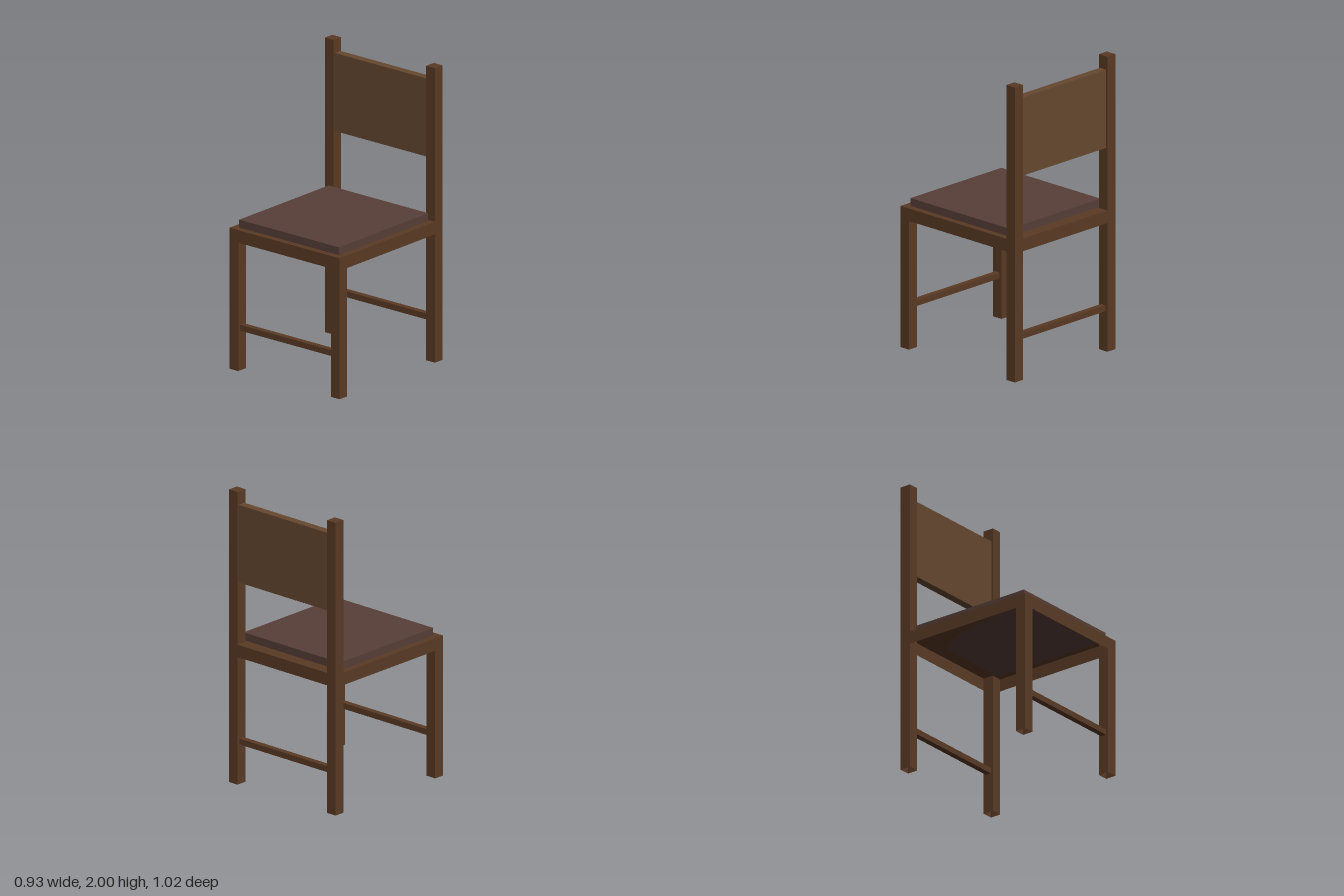
import * as THREE from 'three';

const wood = new THREE.MeshStandardMaterial({ color: 0x5a3a24, side: THREE.DoubleSide });
const panelWood = new THREE.MeshStandardMaterial({ color: 0x66482f });
const fabric = new THREE.MeshStandardMaterial({ color: 0x573f37 });

// Box given by its extents; openBottom drops the downward face
function box(name, [x0, x1], [y0, y1], [z0, z1], material, openBottom = false) {
  const geometry = new THREE.BoxGeometry(x1 - x0, y1 - y0, z1 - z0);
  if (openBottom) {
    const index = Array.from(geometry.index.array);
    index.splice(18, 6);
    geometry.setIndex(index);
    geometry.clearGroups();
  }
  geometry.translate((x0 + x1) / 2, (y0 + y1) / 2, (z0 + z1) / 2);
  const mesh = new THREE.Mesh(geometry, material);
  mesh.name = name;
  return mesh;
}

export function createModel() {
  const chair = new THREE.Group();
  chair.name = 'chair';
  const outer = 0.465, inner = 0.39, front = 0.51, legDepth = 0.075;

  // Legs: short at the front, rising into back posts behind
  for (const [side, xs] of [['left', [inner, outer]], ['right', [-outer, -inner]]]) {
    chair.add(
      box(side + 'FrontLeg', xs, [0, 0.95], [front - legDepth, front], wood, true),
      box(side + 'BackPost', xs, [0, 2], [-front, -front + legDepth], wood, true),
    );
  }

  // Seat frame, hollow underneath, with the cushion on top
  chair.add(
    box('seatFrame', [-outer, outer], [0.872, 0.957], [-front, front], wood, true),
    box('seatCushion', [-0.42, 0.42], [0.957, 1.01], [-0.42, 0.465], fabric),
  );

  // Stretchers between the legs
  for (const [name, z] of [['frontStretcher', 0.472], ['backStretcher', -0.472]]) {
    chair.add(box(name, [-inner, inner], [0.27, 0.31], [z - 0.02, z + 0.02], wood));
  }

  // Backrest panel between the posts
  chair.add(box('backrestPanel', [-inner, inner], [1.38, 1.91], [-0.5, -0.445], panelWood));

  return chair;
}
